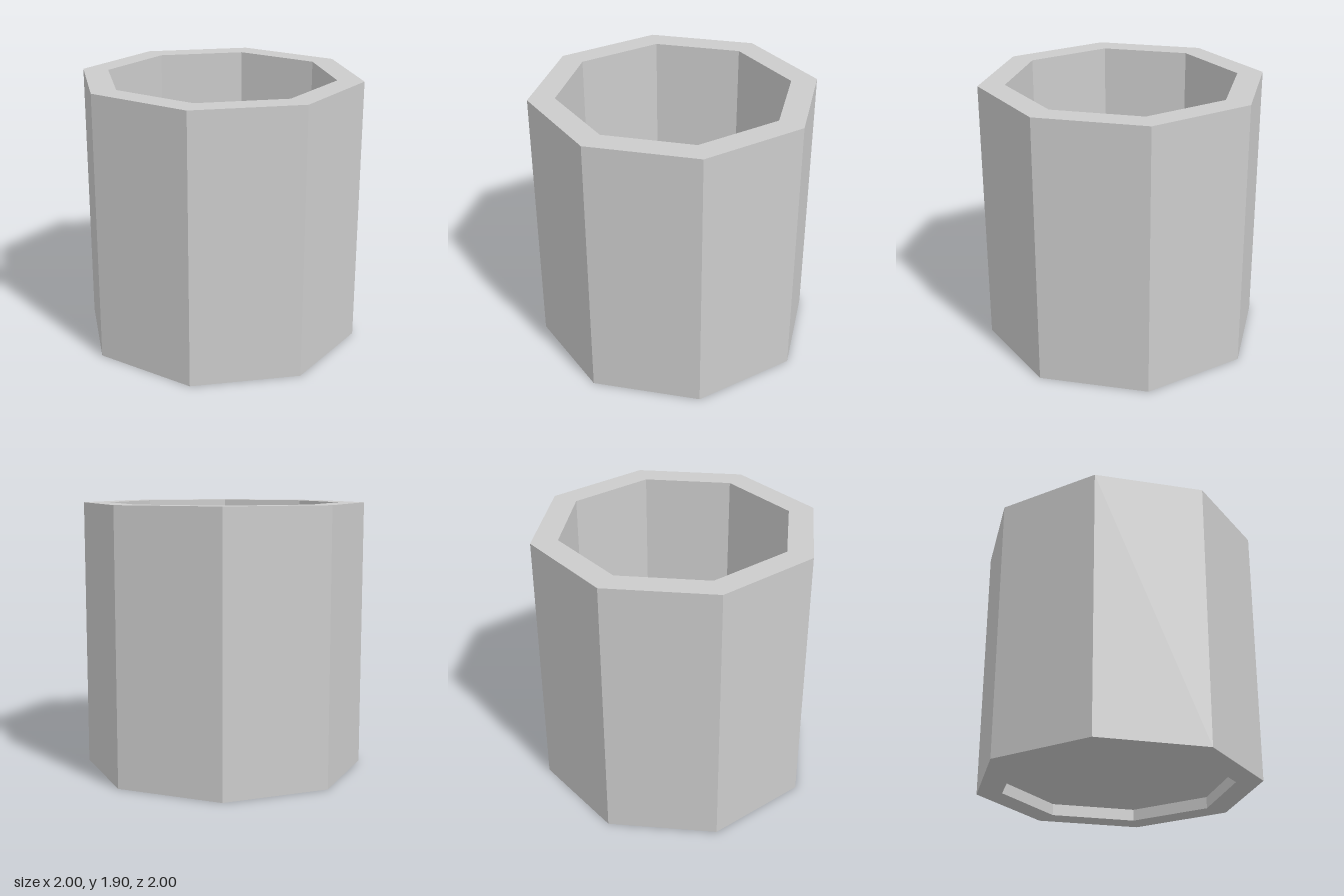
import * as THREE from 'three';

const SIDES = 8;
const HEIGHT = 1.9;
const OUTER = 1;
const INNER = 0.815;
const FLOOR_BOTTOM = 0.085;
const FLOOR_TOP = 0.17;

// Turns a list of [radius, height] points into a faceted eight-sided part
function facetedLathe(name, profile, material) {
  const points = profile.map(([r, y]) => new THREE.Vector2(r, y));
  const mesh = new THREE.Mesh(new THREE.LatheGeometry(points, SIDES), material);
  mesh.name = name;
  return mesh;
}

export function createModel() {
  const group = new THREE.Group();
  group.name = 'octagonalCup';
  const material = new THREE.MeshStandardMaterial({ color: 0xcccccc, flatShading: true });

  // Thick wall: underside recess, foot rim, outside, top rim, inside
  group.add(facetedLathe('wall', [
    [INNER, FLOOR_BOTTOM],
    [INNER, 0],
    [OUTER, 0],
    [OUTER, HEIGHT],
    [INNER, HEIGHT],
    [INNER, FLOOR_TOP],
  ], material));

  // Floor slab, raised above the foot rim
  group.add(facetedLathe('floorUnderside', [[0, FLOOR_BOTTOM], [INNER, FLOOR_BOTTOM]], material));
  group.add(facetedLathe('floorTop', [[INNER, FLOOR_TOP], [0, FLOOR_TOP]], material));

  return group;
}
